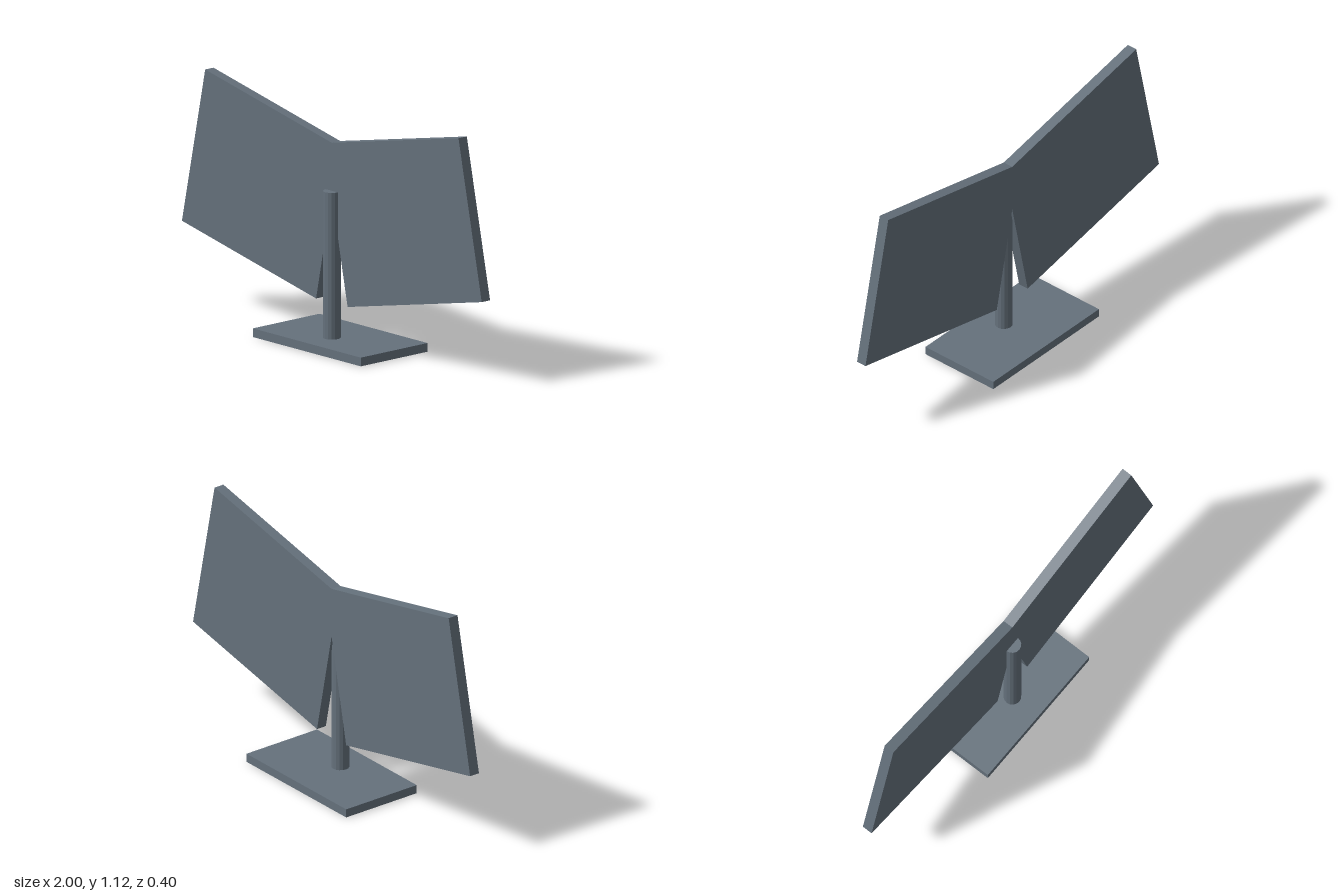
import * as THREE from 'three';

export function createModel() {
  const group = new THREE.Group();
  const slate = new THREE.MeshStandardMaterial({ color: 0x65717c });
  slate.name = 'slate grey';

  const add = (name, geometry, x, y, z, material = slate) => {
    const mesh = new THREE.Mesh(geometry, material);
    mesh.name = name;
    mesh.position.set(x, y, z);
    group.add(mesh);
  };

  // Flat rectangular foot
  add('base', new THREE.BoxGeometry(0.72, 0.04, 0.4), 0, 0.02, 0);

  // Round post, half sunk into the panels
  const post = new THREE.CylinderGeometry(0.04, 0.04, 0.675, 16).toNonIndexed();
  post.computeVertexNormals();
  add('post', post, 0, 0.3775, 0.05);

  // Two tilted panels joined in the middle, outlined from one half and its mirror
  const half = [[0.105, 0.2], [1, 0.39], [0.845, 1.115]];
  const mirrored = half.map(([x, y]) => [-x, y]).reverse();
  const outline = [[0, 0.7], ...half, [0, 0.936], ...mirrored];
  const shape = new THREE.Shape(outline.map(([x, y]) => new THREE.Vector2(x, y)));
  add('wingPanels', new THREE.ExtrudeGeometry(shape, { depth: 0.05, bevelEnabled: false }), 0, 0, 0);

  return group;
}
